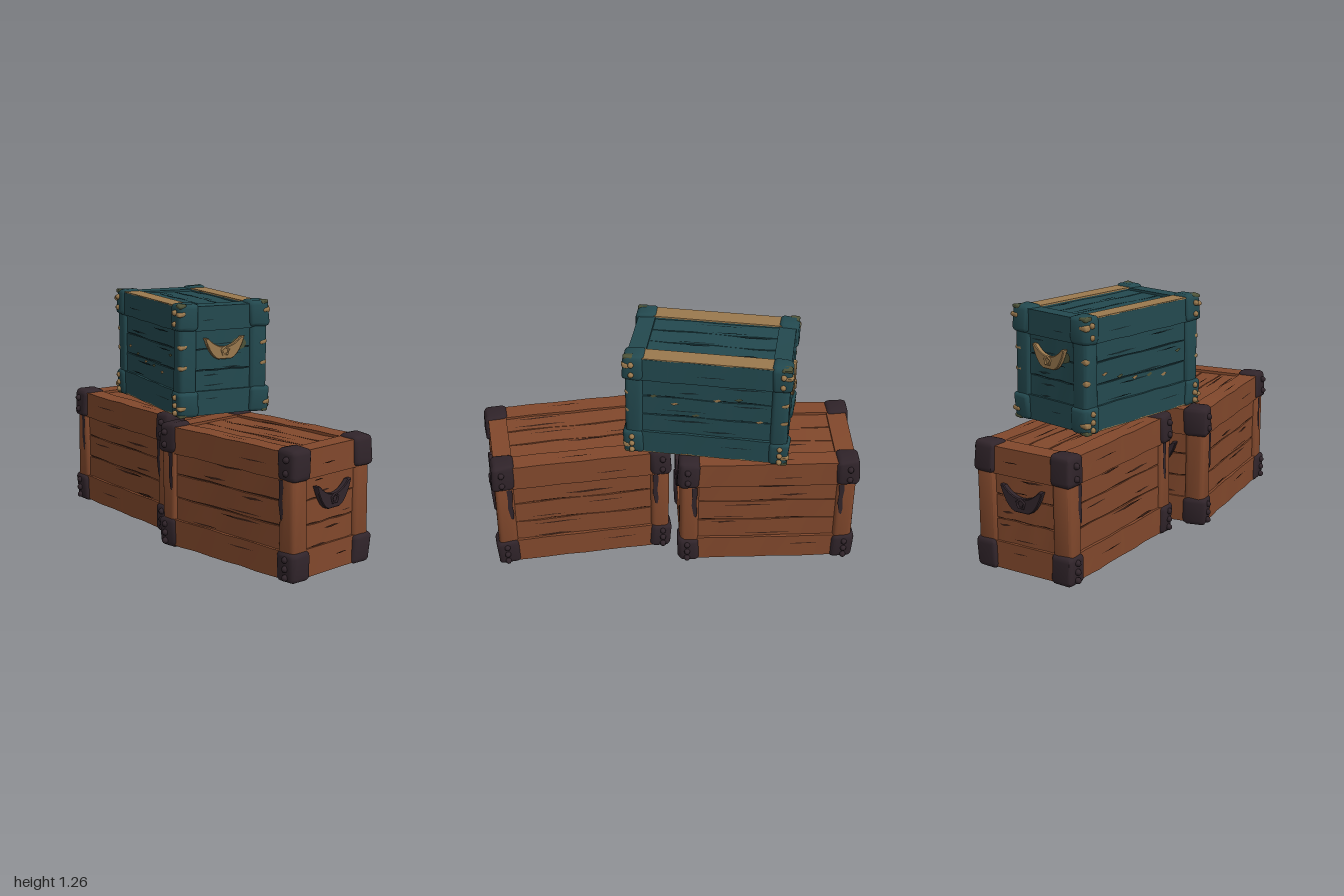
import * as THREE from 'three';
import { toCreasedNormals } from 'three/addons/utils/BufferGeometryUtils.js';
import { RoundedBoxGeometry } from 'three/addons/geometries/RoundedBoxGeometry.js';

const paint = (name, color) => {
  const m = new THREE.MeshStandardMaterial({ color });
  m.name = name;
  return m;
};

// Small seeded random source
function seeded(seed) {
  return () => {
    seed = (seed * 16807) % 2147483647;
    return seed / 2147483647;
  };
}

// Hand-hewn look: nudge each vertex by a rule based on its position
function wobble(geo, amp, seed) {
  const p = geo.attributes.position;
  const n = (a, b, c, k) => Math.sin(a * 37 + b * 53 + c * 71 + k + seed * 1.7);
  for (let i = 0; i < p.count; i++) {
    const x = p.getX(i), y = p.getY(i), z = p.getZ(i);
    p.setXYZ(i, x + amp * n(x, y, z, 0), y + amp * n(x, y, z, 2), z + amp * n(x, y, z, 4));
  }
  return toCreasedNormals(geo, 0.7);
}

function add(parent, name, geo, mat, x = 0, y = 0, z = 0) {
  const m = new THREE.Mesh(geo, mat);
  m.name = name;
  m.position.set(x, y, z);
  parent.add(m);
  return m;
}

// Long thin split in the wood
function crackGeometry(l, h) {
  return new THREE.ShapeGeometry(new THREE.Shape([
    new THREE.Vector2(-l / 2, 0), new THREE.Vector2(-l * 0.1, -h / 2),
    new THREE.Vector2(l / 2, h * 0.1), new THREE.Vector2(l * 0.15, h / 2),
  ]));
}

// Ragged strip of worn paint, hanging down from its origin
function streakGeometry(w, h) {
  const s = new THREE.Shape([[-0.5, 0], [-0.4, -0.35], [-0.5, -0.6], [-0.1, -0.95], [0.3, -1],
    [0.5, -0.8], [0.3, -0.5], [0.5, -0.2], [0.45, 0]].map(([x, y]) => new THREE.Vector2(x * w, y * h)));
  return new THREE.ShapeGeometry(s);
}

// Crescent grip with a ring plate in the middle, facing +z
function handle(mat) {
  const g = new THREE.Group();
  g.name = 'handle';
  const s = new THREE.Shape();
  s.moveTo(-0.122, 0.06);
  s.quadraticCurveTo(-0.085, -0.045, -0.04, -0.058);
  s.lineTo(0.04, -0.058);
  s.quadraticCurveTo(0.085, -0.045, 0.122, 0.06);
  s.lineTo(0.105, 0.058);
  s.quadraticCurveTo(0.06, 0.008, 0, 0.004);
  s.quadraticCurveTo(-0.06, 0.008, -0.105, 0.058);
  const grip = new THREE.ExtrudeGeometry(s, { depth: 0.022, bevelSize: 0.004, bevelThickness: 0.005, bevelSegments: 1, curveSegments: 5 });
  add(g, 'grip', grip, mat, 0, 0, 0.005);
  const ring = add(g, 'handleRing', new THREE.TorusGeometry(0.024, 0.007, 5, 5), mat, 0, -0.014, 0.034);
  ring.rotation.z = Math.PI / 2;
  add(g, 'handlePlate', new RoundedBoxGeometry(0.06, 0.03, 0.025, 1, 0.006), mat, 0, -0.03, 0.02);
  return g;
}

// One crate, 0.95 long, 0.66 high and 0.59 deep, standing on y = 0
function crate(name, seed, c) {
  const g = new THREE.Group();
  g.name = name;
  const rnd = seeded(seed * 7919);
  add(g, 'core', new THREE.BoxGeometry(0.864, 0.584, 0.504), c.crack, 0, 0.33, 0);

  // Recessed planks and splits on all six faces
  const faces = [
    ['front', 0.74, 0.37, [0, 0.335, 0.26], [0, 0, 0]],
    ['back', 0.74, 0.37, [0, 0.335, -0.26], [0, Math.PI, 0]],
    ['left', 0.36, 0.37, [0.442, 0.335, 0], [0, Math.PI / 2, 0]],
    ['right', 0.36, 0.37, [-0.442, 0.335, 0], [0, -Math.PI / 2, 0]],
    ['top', 0.74, 0.36, [0, 0.632, 0], [-Math.PI / 2, 0, 0]],
    ['bottom', 0.74, 0.36, [0, 0.028, 0], [Math.PI / 2, 0, 0]],
  ];
  for (const [side, w, h, pos, rot] of faces) {
    const f = new THREE.Group();
    f.name = side + 'Panel';
    f.position.set(...pos);
    f.rotation.set(...rot);
    g.add(f);
    const ph = h / 3;
    for (let i = 0; i < 3; i++) {
      const y = (i - 1) * ph;
      const plank = wobble(new THREE.BoxGeometry(w, ph - 0.006, 0.03, 6, 1, 1), 0.0025, seed + i * 3 + w * 10);
      add(f, 'plank', plank, c.wood, 0, y, -0.015);
      for (let k = 0; k < 2; k++) {
        const l = w * (0.18 + 0.22 * rnd());
        add(f, 'crack', crackGeometry(l, 0.006 + 0.01 * rnd()), c.crack,
          (rnd() - 0.5) * (w - l - 0.04), y + (k - 0.5) * ph * 0.6 + (rnd() - 0.5) * 0.03, 0.004);
      }
    }
    // Splits on the raised rails above and below the planks
    const raise = side === 'top' || side === 'bottom' ? 0.017 : 0.018;
    for (const s of [-1, 1]) {
      if (raise === 0.017 && c.stripe) continue;
      const y = s * (raise === 0.017 ? 0.225 : 0.24) + (rnd() - 0.5) * 0.04;
      add(f, 'railCrack', crackGeometry(w * 0.25, 0.007), c.crack, (rnd() - 0.5) * w * 0.6, y, raise);
    }
  }

  // Rails around the lid and the base
  for (const y of [0.086, 0.575]) {
    for (const s of [-1, 1]) {
      add(g, 'longRail', wobble(new THREE.BoxGeometry(0.86, 0.14, 0.1, 8, 1, 1), 0.002, seed), c.wood, 0, y, s * 0.225);
      add(g, 'endRail', wobble(new THREE.BoxGeometry(0.1, 0.14, 0.46, 1, 1, 5), 0.002, seed), c.wood, s * 0.405, y, 0);
      if (c.stripe) {
        const sy = y > 0.3 ? 0.646 : 0.0145;
        add(g, 'paintedStripe', new THREE.BoxGeometry(0.8, 0.008, 0.102), c.stripe, 0, sy, s * 0.223);
      }
    }
  }

  // Corner posts, caps, rivets and worn paint
  for (const sx of [-1, 1]) for (const sz of [-1, 1]) {
    const k = seed + sx + sz * 2;
    add(g, 'cornerPost', wobble(new RoundedBoxGeometry(0.1, 0.46, 0.11, 2, 0.026), 0.002, k), c.wood, sx * 0.411, 0.33, sz * 0.226);
    for (const y of [0.0825, 0.5825]) {
      const cap = new RoundedBoxGeometry(0.118, 0.157, 0.128, 2, 0.028);
      const p = cap.attributes.position;
      // Taper towards the crate's top or bottom
      const up = y > 0.3 ? 1 : -1;
      for (let i = 0; i < p.count; i++) {
        if (p.getY(i) * up > 0.05) p.setXYZ(i, p.getX(i) - sx * 0.006, p.getY(i), p.getZ(i) - sz * 0.006);
      }
      add(g, 'cornerCap', wobble(cap, 0.003, k), c.cap, sx * 0.417, y, sz * 0.23);
      for (const dy of up > 0 ? [-0.035, 0.03] : [-0.048, -0.004, 0.042]) {
        const rivet = add(g, 'rivet', new THREE.SphereGeometry(0.017, 7, 5), c.rivet, sx * 0.422, y + dy, sz * 0.293);
        rivet.scale.z = 1.1;
      }
      if (c.chip) {
        add(g, 'capChip', wobble(new RoundedBoxGeometry(0.05, 0.032, 0.055, 2, 0.022), 0.003, k), c.chip, sx * 0.4535, y + up * 0.02, sz * 0.2695);
        add(g, 'capChip', wobble(new RoundedBoxGeometry(0.06, 0.025, 0.05, 2, 0.012), 0.003, k), c.stain, sx * 0.44, y + up * 0.065, sz * 0.262);
      }
    }
    if (c.chip) {
      for (const y of [0.295, 0.415]) {
        add(g, 'postChip', wobble(new RoundedBoxGeometry(0.05, 0.036, 0.055, 2, 0.02), 0.003, k + y), c.chip, sx * 0.438, y, sz * 0.2555);
      }
    } else {
      const streak = add(g, 'wornStreak', streakGeometry(0.03, 0.2), c.cap, sx * 0.385, 0.51, sz * 0.286);
      if (sz < 0) streak.rotation.y = Math.PI;
    }
  }

  // Handles on both ends
  for (const s of [-1, 1]) {
    const h = handle(c.handle);
    h.position.set(s * 0.442, 0.398, 0);
    h.rotation.y = s * Math.PI / 2;
    g.add(h);
    if (c.stain) {
      const wear = add(g, 'handleWear', new THREE.CircleGeometry(0.05, 9), c.stain, s * 0.448, 0.415, -s * 0.1);
      wear.rotation.y = s * Math.PI / 2;
      wear.scale.y = 0.7;
    }
  }

  // Scattered scuffs on the painted long sides
  if (c.chip) for (const s of [-1, 1]) for (let i = 0; i < 6; i++) {
    const scuff = add(g, 'scuff', crackGeometry(0.05, 0.022), i % 2 ? c.stain : c.chip, -0.3 + i * 0.12, 0.22 + 0.22 * rnd(), s * 0.2655);
    if (s < 0) scuff.rotation.y = Math.PI;
  }
  return g;
}

export function createModel() {
  const wood = paint('brown wood', 0x81482c);
  const iron = paint('dark iron', 0x30242a);
  const tan = paint('tan', 0x9a794e);
  const teal = paint('teal paint', 0x23494f);
  const brownSet = { wood, crack: paint('dark brown crack', 0x3a2016), cap: iron, rivet: iron, handle: iron };
  const tealSet = {
    wood: teal, crack: paint('dark teal crack', 0x14282c), cap: teal, rivet: tan, handle: tan,
    stripe: tan, chip: tan, stain: paint('olive stain', 0x4d5238),
  };

  const model = new THREE.Group();
  model.name = 'crateStack';
  const place = (g, x, y, z, turn, scale = 1) => {
    g.position.set(x, y, z);
    g.rotation.y = turn;
    g.scale.setScalar(scale);
    model.add(g);
  };
  place(crate('rightCrate', 3, brownSet), -0.52, 0, -0.05, 0);
  place(crate('leftCrate', 5, brownSet), 0.485, 0, 0.015, 0.135);
  place(crate('topCrate', 8, tealSet), -0.235, 0.667, -0.045, -0.185, 0.9);
  return model;
}
